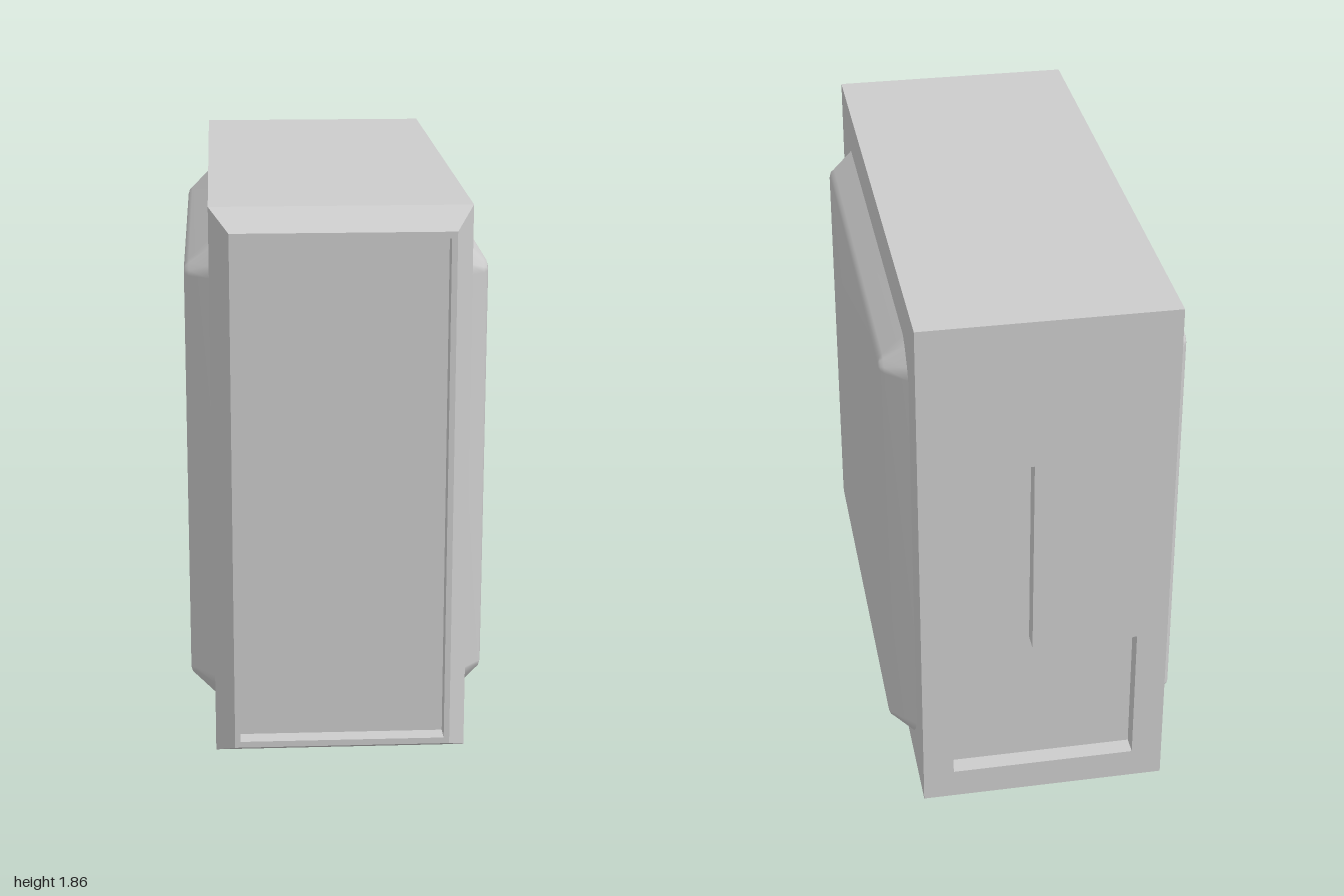
import * as THREE from 'three';

const flat = new THREE.MeshStandardMaterial({ color: 0xcccccc, flatShading: true });
const smooth = new THREE.MeshStandardMaterial({ color: 0xcccccc });

// Skin over counter-clockwise [x, y, z] loops, optionally closed by a fan at the last one
function loft(rings, cap = false) {
  const n = rings[0].length, index = [], points = rings.flat();
  for (let r = 0; r < rings.length - 1; r++) {
    for (let i = 0; i < n; i++) {
      const j = (i + 1) % n, a = r * n + i, b = r * n + j;
      index.push(a, b, b + n, a, b + n, a + n);
    }
  }
  if (cap) {
    const base = (rings.length - 1) * n, centre = points.length;
    points.push([0, 1, 2].map((k) => rings.at(-1).reduce((s, p) => s + p[k], 0) / n));
    for (let i = 0; i < n; i++) index.push(base + i, base + (i + 1) % n, centre);
  }
  const g = new THREE.BufferGeometry();
  g.setAttribute('position', new THREE.Float32BufferAttribute(points.flat(), 3));
  g.setIndex(index);
  g.computeVertexNormals();
  return g;
}

const at = (outline, z) => outline.map(([x, y]) => [x, y, z]);
const rect = (w, y0, y1) => [[-w, y0], [w, y0], [w, y1], [-w, y1]];

// Rectangle with softly cut corners of size c
function cutRect(hw, hh, c) {
  const corner = [[0, 1], [0.2, 0.65], [0.65, 0.2], [1, 0]];
  const out = [];
  [[1, 1], [-1, 1], [-1, -1], [1, -1]].forEach(([sx, sy], k) => {
    const pts = k % 2 ? [...corner].reverse() : corner;
    pts.forEach(([u, v]) => out.push([sx * (hw - u * c), sy * (hh - v * c)]));
  });
  return out;
}

// Flat face turned towards the back
function backFace(outline, z, hole) {
  const vec = (o) => o.map(([x, y]) => new THREE.Vector2(x, y));
  const shape = new THREE.Shape(vec(outline));
  if (hole) shape.holes.push(new THREE.Path(vec(hole)));
  const g = new THREE.ShapeGeometry(shape);
  g.index.array.reverse();
  g.computeVertexNormals();
  return g.translate(0, 0, z);
}

export function createModel() {
  const model = new THREE.Group();
  const add = (name, geometry, material = flat, parent = model) => {
    const mesh = new THREE.Mesh(geometry, material);
    mesh.name = name;
    parent.add(mesh);
    return mesh;
  };

  // Case with a chamfered front and a recessed front panel
  const caseOutline = rect(0.405, 0.065, 1.855);
  const panelOutline = rect(0.326, 0.145, 1.774);
  const body = new THREE.Group();
  body.name = 'case';
  model.add(body);
  add('caseShell', loft([
    at(caseOutline, -1), at(caseOutline, 0.88),
    at(rect(0.344, 0.125, 1.795), 1), at(panelOutline, 1), at(panelOutline, 0.94),
  ]), flat, body);
  add('frontPanel', loft([at(panelOutline, 0.94)], true), flat, body);

  // Back plate with an L-shaped recess
  const recess = [[-0.304, 0.167], [0.304, 0.167], [0.304, 1.35], [0.042, 1.35], [0.042, 0.653], [-0.304, 0.653]];
  add('backPlate', backFace(caseOutline, -1, recess), flat, body);
  add('backRecessWalls', loft([at(recess, -0.94), at(recess, -1)]), flat, body);
  add('backRecessFloor', backFace(recess, -0.94), flat, body);

  // Raised side panels: [inset, height, corner cut]
  const steps = [[0, 0, 0.105], [0.064, 0.064, 0.045], [0.076, 0.075, 0.03], [0.092, 0.08, 0.015]];
  const bulge = loft(steps.map(([d, h, c]) => at(cutRect(0.785 - d, 0.775 - d, c), h)), true);
  for (const s of [-1, 1]) {
    const panel = add(s > 0 ? 'leftSidePanel' : 'rightSidePanel', bulge, smooth);
    panel.rotation.y = s * Math.PI / 2;
    panel.position.set(s * 0.405, 0.93, -0.06);
  }

  // Feet
  const footOutline = cutRect(0.068, 0.07, 0.04);
  const foot = loft([at(footOutline, 0), at(footOutline, 0.065)], true).rotateX(Math.PI / 2);
  for (const x of [-0.19, 0.19]) {
    for (const z of [0.65, -0.76]) add('foot', foot).position.set(x, 0.065, z);
  }
  return model;
}
